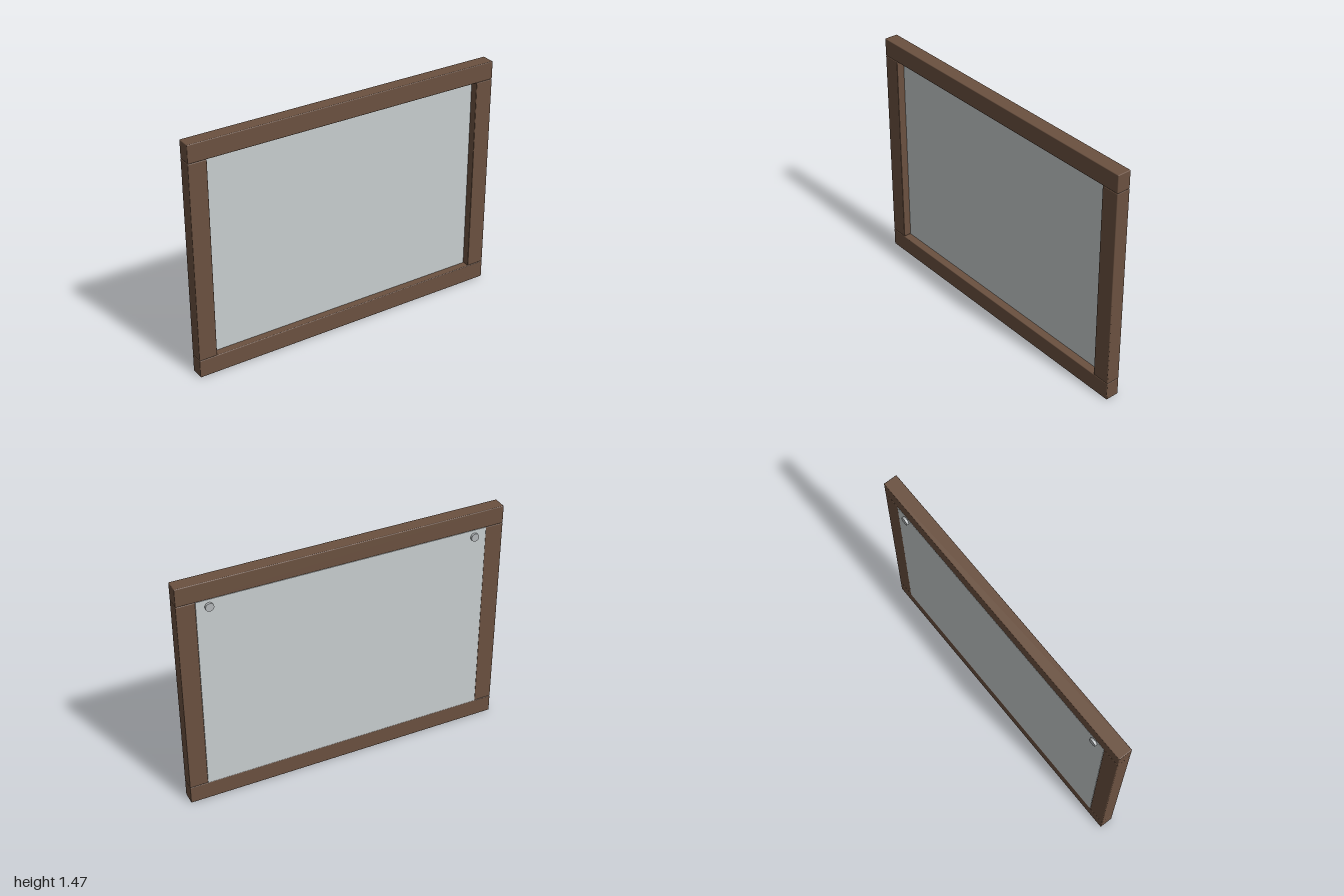
import * as THREE from 'three';
import { RoundedBoxGeometry } from 'three/addons/geometries/RoundedBoxGeometry.js';

const W = 2, H = 1.47, BAR = 0.112;
const BACK = -0.036, FRONT = 0.05;

export function createModel() {
  const wood = new THREE.MeshStandardMaterial({ name: 'brown wood', color: 0x6b5140 });
  const glass = new THREE.MeshStandardMaterial({ name: 'silver glass', color: 0xc8cecf });
  const metal = new THREE.MeshStandardMaterial({ name: 'grey metal', color: 0xb4b8ba });

  const model = new THREE.Group();
  model.name = 'framedMirror';
  const add = (name, geometry, material, x, y, z) => {
    const mesh = new THREE.Mesh(geometry, material);
    mesh.name = name;
    mesh.position.set(x, y, z);
    model.add(mesh);
    return mesh;
  };

  // Frame: full-width rails with stiles fitted between them, edges softly eased
  const depth = FRONT - BACK, midZ = (FRONT + BACK) / 2;
  const rail = new RoundedBoxGeometry(W, BAR, depth, 2, 0.005);
  const stile = new RoundedBoxGeometry(BAR, H - 2 * BAR, depth, 2, 0.005);
  add('topRail', rail, wood, 0, H - BAR / 2, midZ);
  add('bottomRail', rail, wood, 0, BAR / 2, midZ);

  // Mirror panel: recessed at the front, flush with the back of the frame
  const panelFront = 0.002;
  const panel = new THREE.BoxGeometry(W - 2 * BAR, H - 2 * BAR, panelFront - BACK);
  add('mirrorPanel', panel, glass, 0, H / 2, (panelFront + BACK) / 2);

  // Stiles and round hanging studs, mirrored left and right
  const stud = new THREE.CylinderGeometry(0.025, 0.025, 0.018, 32).rotateX(Math.PI / 2);
  for (const [side, s] of [['left', 1], ['right', -1]]) {
    add(side + 'Stile', stile, wood, s * (W - BAR) / 2, H / 2, midZ);
    add(side + 'HangingStud', stud, metal, s * 0.813, 1.315, -0.041);
  }
  return model;
}
